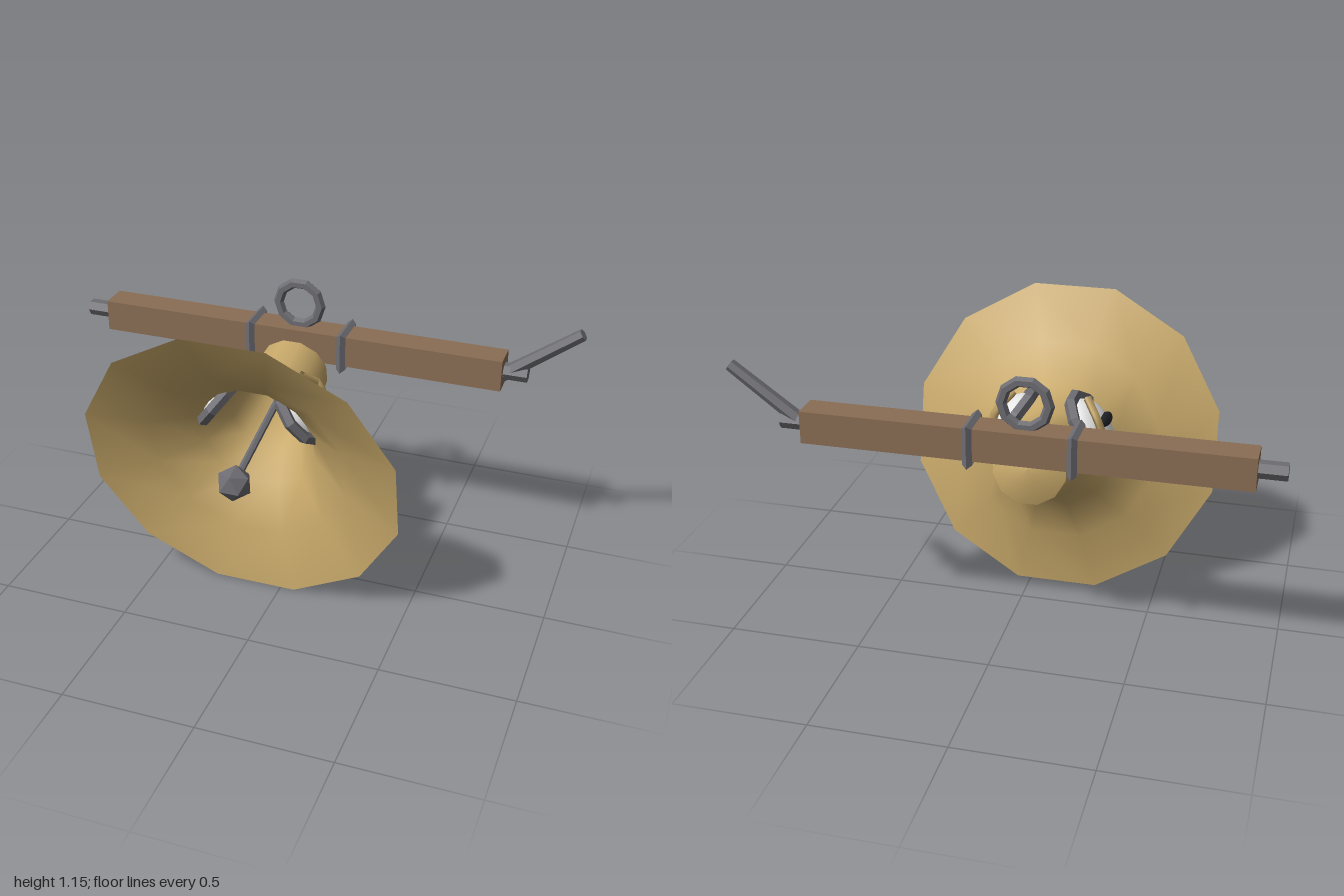
import * as THREE from 'three';

const paint = (name, color, extra = {}) => {
  const m = new THREE.MeshStandardMaterial({ color, ...extra });
  m.name = name;
  return m;
};
const V = (x, y, z) => new THREE.Vector3(x, y, z);

export function createModel() {
  const brass = paint('brass', 0xc8a96a, { side: THREE.DoubleSide });
  const wood = paint('wood', 0x8a6e55);
  const iron = paint('iron', 0x6c6c72, { flatShading: true });
  const white = paint('eyeWhite', 0xe6e6e6);
  const black = paint('pupilBlack', 0x25262b);

  const model = new THREE.Group();
  const add = (parent, name, geometry, material, x = 0, y = 0, z = 0) => {
    const mesh = new THREE.Mesh(geometry, material);
    mesh.name = name;
    mesh.position.set(x, y, z);
    parent.add(mesh);
    return mesh;
  };
  // Six-sided rod between two points
  const rod = (parent, name, a, b, r0, r1, material) => {
    const d = b.clone().sub(a);
    const mesh = add(parent, name, new THREE.CylinderGeometry(r1, r0, d.length(), 6), material);
    mesh.position.copy(a).addScaledVector(d, 0.5);
    mesh.quaternion.setFromUnitVectors(V(0, 1, 0), d.normalize());
    return mesh;
  };

  // Flared bell, its axis tipped forward and down
  const bell = new THREE.Group();
  bell.name = 'bell';
  bell.position.set(-0.105, 0.58, 0.288);
  bell.rotation.x = 1.805;
  model.add(bell);
  const lathe = (pts) => new THREE.LatheGeometry(
    pts.map(([r, t]) => new THREE.Vector2(r, t)), 12, Math.PI / 12);
  add(bell, 'bellBody', lathe([[0.137, -0.61], [0.149, -0.46], [0.16, -0.327],
    [0.231, -0.192], [0.385, -0.08], [0.612, 0]]), brass);
  add(bell, 'bellCap', lathe([[0, -0.656], [0.06, -0.65], [0.137, -0.61]]), brass);

  // Clapper
  rod(bell, 'clapperRod', V(0, -0.6, 0), V(0, 0.05, 0), 0.014, 0.014, iron);
  add(bell, 'clapperBall', new THREE.IcosahedronGeometry(0.068, 0), iron, 0, 0.052, 0);

  // Yoke beam with straps, pegs, crank and hanging ring
  const by = 0.83, bz = -0.35;
  add(model, 'beam', new THREE.BoxGeometry(1.61, 0.122, 0.112), wood, -0.095, by, bz);
  for (const x of [-0.28, 0.09]) {
    const g = new THREE.TorusGeometry(0.096, 0.018, 4, 4);
    g.rotateZ(Math.PI / 4).rotateY(Math.PI / 2);
    add(model, 'strap', g, iron, x, by - 0.002, bz);
  }
  rod(model, 'rightPeg', V(-1, by, bz), V(-0.88, by, bz), 0.032, 0.032, iron);
  rod(model, 'leftPeg', V(0.69, by, bz), V(0.8, by, bz), 0.032, 0.032, iron);
  rod(model, 'crank', V(0.7, 0.81, bz), V(0.985, 1.022, bz), 0.028, 0.023, iron);
  add(model, 'hangingRing', new THREE.TorusGeometry(0.085, 0.02, 6, 10), iron, -0.1, 0.98, bz);

  // Eyes, mirrored either side of the neck
  const basis = new THREE.Matrix4().makeBasis(V(0, 0, -1), V(-0.6, 0.8, 0), V(0.8, 0.6, 0));
  for (const side of [1, -1]) {
    const half = new THREE.Group();
    half.name = side > 0 ? 'leftEye' : 'rightEye';
    half.position.x = -0.105;
    half.scale.x = side;
    model.add(half);
    const eye = new THREE.Group();
    eye.name = 'eye';
    eye.position.set(0.153, 0.75, 0.04);
    eye.quaternion.setFromRotationMatrix(basis);
    half.add(eye);

    add(eye, 'eyeRing', new THREE.TorusGeometry(0.13, 0.024, 5, 10), iron);
    const dome = new THREE.SphereGeometry(0.112, 14, 6, 0, Math.PI * 2, 0, Math.PI / 2);
    dome.rotateX(Math.PI / 2).scale(1, 1, 0.54);
    add(eye, 'eyeball', dome, white);
    const pupil = add(eye, 'pupil', new THREE.SphereGeometry(1, 12, 8), black, -0.012, -0.008, 0.055);
    pupil.scale.set(0.073, 0.024, 0.013);
    pupil.rotation.z = 0.12;

    // Angled eyelid behind the pupil
    const lid = new THREE.CurvePath();
    const pts = [V(0.03, 0.105, 0.062), V(0.09, 0.035, 0.07), V(0.082, -0.096, 0.03)];
    lid.add(new THREE.LineCurve3(pts[0], pts[1]));
    lid.add(new THREE.LineCurve3(pts[1], pts[2]));
    add(eye, 'eyelid', new THREE.TubeGeometry(lid, 6, 0.016, 4), brass);
  }
  return model;
}
